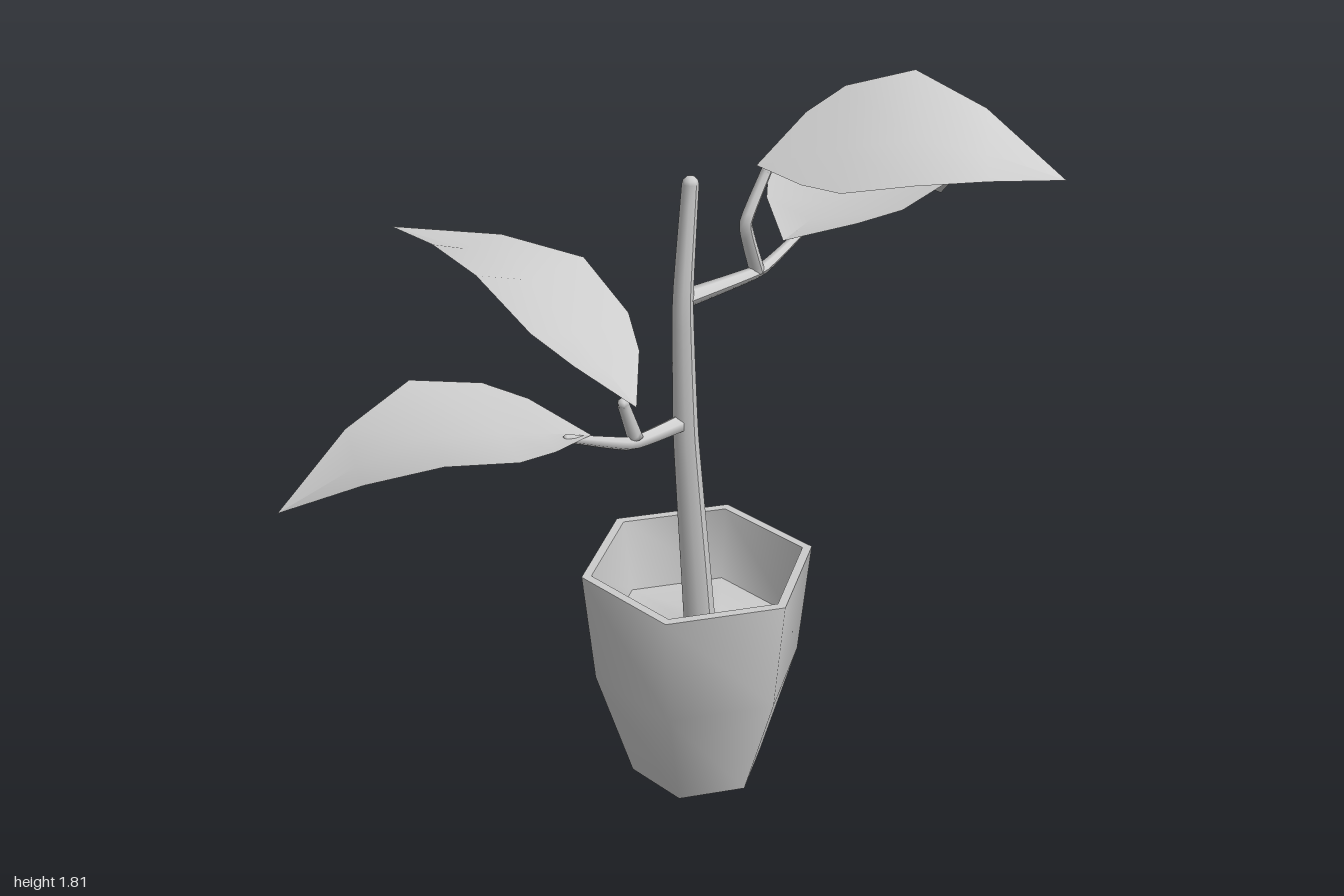
import * as THREE from 'three';
import { toCreasedNormals } from 'three/addons/utils/BufferGeometryUtils.js';

const material = new THREE.MeshStandardMaterial({ color: 0xcccccc });
const leafMaterial = new THREE.MeshStandardMaterial({ color: 0xcccccc, side: THREE.DoubleSide });
const vec = (p) => new THREE.Vector3(...p);

// Tapered limb with a rounded end, swept along a few points
function makeLimb(name, points, radii, sides = 8) {
  const curve = new THREE.CatmullRomCurve3(points.map(vec), false, 'catmullrom', 0.2);
  const rings = points.length * 5;
  const geometry = new THREE.TubeGeometry(curve, rings, 1, sides);
  const pos = geometry.attributes.position;
  const v = new THREE.Vector3();
  for (let i = 0; i <= rings; i++) {
    const centre = curve.getPointAt(i / rings);
    const r = THREE.MathUtils.lerp(radii[0], radii[1], i / rings);
    for (let j = 0; j <= sides; j++) {
      const k = i * (sides + 1) + j;
      v.fromBufferAttribute(pos, k).sub(centre).multiplyScalar(r).add(centre);
      pos.setXYZ(k, v.x, v.y, v.z);
    }
  }
  geometry.computeVertexNormals();
  const limb = new THREE.Group();
  limb.name = name;
  const cap = new THREE.Mesh(new THREE.SphereGeometry(radii[1], sides, 6), material);
  cap.position.copy(vec(points[points.length - 1]));
  cap.name = name + 'Tip';
  const shaft = new THREE.Mesh(geometry, material);
  shaft.name = name + 'Shaft';
  limb.add(shaft, cap);
  return limb;
}

// Leaf stations: distance along, half width, midrib height, edge height
const STATIONS = [
  [0, 0, 0, 0],
  [0.15, 0.137, 0.034, 0.058],
  [0.275, 0.203, 0.06, 0.092],
  [0.5, 0.218, 0.098, 0.136],
  [0.735, 0.137, 0.068, 0.094],
  [1, 0, 0, 0],
];

// Arched leaf with a V fold, laid from base to tip and rolled about its length
function makeLeaf(name, base, tip, roll = 0) {
  const forward = vec(tip).sub(vec(base));
  const length = forward.length();
  const vertices = [], indices = [];
  STATIONS.forEach(([t, w, mid, edge], i) => {
    vertices.push(-w, edge, t * length, 0, mid, t * length, w, edge, t * length);
    if (i === STATIONS.length - 1) return;
    for (let j = 0; j < 2; j++) {
      const a = i * 3 + j, b = a + 3;
      if (i > 0) indices.push(a, b, a + 1);
      if (i === 0) indices.push(a, b, b + 1);
      else if (i < STATIONS.length - 2) indices.push(a + 1, b, b + 1);
    }
  });
  const geometry = new THREE.BufferGeometry();
  geometry.setAttribute('position', new THREE.Float32BufferAttribute(vertices, 3));
  geometry.setIndex(indices);
  geometry.computeVertexNormals();

  const z = forward.normalize();
  const x = new THREE.Vector3(0, 1, 0).cross(z).normalize();
  const y = z.clone().cross(x);
  const leaf = new THREE.Mesh(geometry, leafMaterial);
  leaf.name = name;
  leaf.quaternion.setFromRotationMatrix(new THREE.Matrix4().makeBasis(x, y, z));
  leaf.rotateZ(roll);
  leaf.position.copy(vec(base));
  return leaf;
}

export function createModel() {
  const plant = new THREE.Group();
  plant.name = 'pottedPlant';

  // Six-sided pot, with the soil closing the inside
  const profile = [
    [0, 0], [0.175, 0], [0.27, 0.31], [0.3, 0.615],
    [0.275, 0.615], [0.245, 0.42], [0.06, 0.42], [0, 0.45],
  ].map((p) => new THREE.Vector2(...p));
  const pot = new THREE.Mesh(toCreasedNormals(new THREE.LatheGeometry(profile, 6), 1.15), material);
  pot.name = 'pot';
  pot.position.set(-0.005, 0, 0.09);
  plant.add(pot);

  // Stem and branches
  plant.add(
    makeLimb('stem', [[0, 0.4, 0.095], [-0.02, 0.61, 0.096], [-0.056, 1.0, 0.096],
      [-0.064, 1.35, 0.093], [-0.028, 1.63, 0.08]], [0.041, 0.02]),
    makeLimb('upperBranch', [[-0.06, 1.355, 0.09], [0.2, 1.35, 0.09], [0.34, 1.4, 0.085]], [0.023, 0.011], 6),
    makeLimb('upperTwig', [[0.19, 1.35, 0.09], [0.147, 1.485, 0.09], [0.215, 1.6, 0.09]], [0.019, 0.014], 6),
    makeLimb('lowerBranch', [[-0.06, 1.035, 0.095], [-0.23, 1.037, 0.09], [-0.43, 1.125, 0.09]], [0.023, 0.01], 6),
    makeLimb('lowerTwig', [[-0.215, 1.04, 0.09], [-0.26, 1.155, 0.095]], [0.019, 0.014], 6),
  );

  // Leaves
  plant.add(
    makeLeaf('lowerRightLeaf', [-0.36, 1.11, 0.095], [-1, 1.02, -0.245]),
    makeLeaf('backLeaf', [-0.245, 1.15, 0.125], [-0.353, 1.41, -0.632], 0.26),
    makeLeaf('leftLeaf', [0.285, 1.4, 0.085], [1, 1.305, 0]),
    makeLeaf('topLeaf', [0.185, 1.62, 0.085], [0.658, 1.605, 0.63], 0.31),
  );
  return plant;
}
